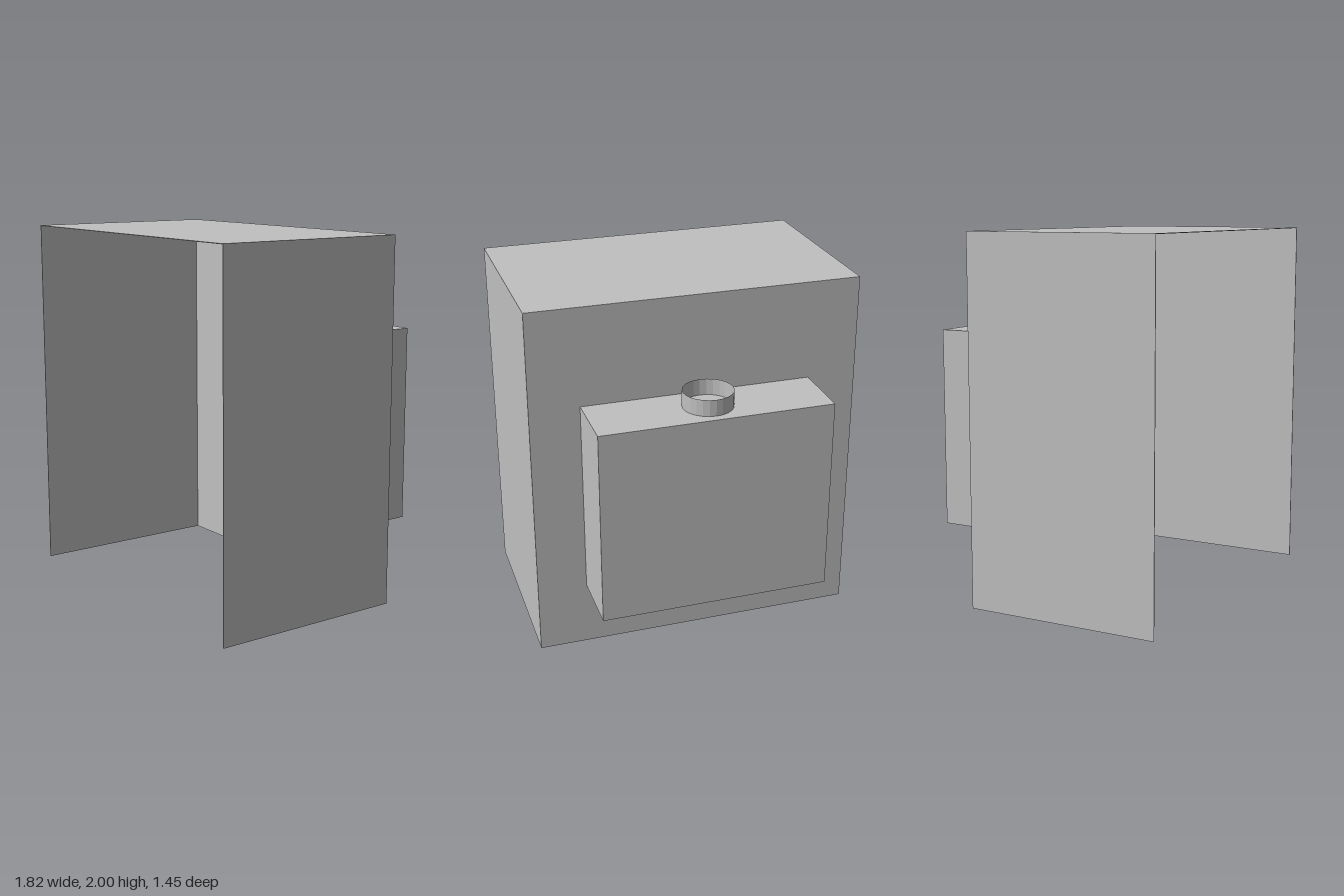
import * as THREE from 'three';

const U = 1 / 11; // design unit: the hood is 22 units tall
const T = 0.004;  // sheet thickness

export function createModel() {
  const group = new THREE.Group();
  const metal = new THREE.MeshStandardMaterial({ color: 0xc0c0c0 });
  metal.name = 'light grey sheet metal';
  const openMetal = metal;
  openMetal.side = THREE.DoubleSide;

  const add = (name, geometry, x, y, z) => {
    const mesh = new THREE.Mesh(geometry, metal);
    mesh.name = name;
    mesh.position.set(x, y, z);
    group.add(mesh);
    return mesh;
  };
  const box = (name, w, h, d, x, y, z) => add(name, new THREE.BoxGeometry(w, h, d), x, y, z);

  // Rectangular sheet with a rectangular hole, facing z
  const frame = (name, w, y0, y1, hw, hy0, hy1, z) => {
    const rect = (P, r, a, b) => {
      const p = new P();
      p.moveTo(-r, a).lineTo(r, a).lineTo(r, b).lineTo(-r, b).closePath();
      return p;
    };
    const shape = rect(THREE.Shape, w, y0, y1);
    shape.holes.push(rect(THREE.Path, hw, hy0, hy1));
    add(name, new THREE.ExtrudeGeometry(shape, { depth: T, bevelEnabled: false }), 0, 0, z);
  };

  // Outer shell: open at the front and bottom
  const backZ = -4 * U, frontZ = 8 * U, depth = 12 * U, midZ = 2 * U;
  for (const [s, name] of [[1, 'leftPanel'], [-1, 'rightPanel']]) {
    box(name, T, 2, depth, s * (10 * U - T / 2), 1, (backZ + frontZ) / 2);
  }
  box('topPanel', 20 * U, T, depth, 0, 2 - T / 2, midZ);
  frame('backPanel', 10 * U, 0, 2, 6 * U, 5 * U, 15 * U, backZ);

  // Housing behind the back panel
  const rearZ = -8 * U, houseMid = -6 * U;
  for (const [s, name] of [[1, 'housingLeft'], [-1, 'housingRight']]) {
    box(name, T, 12 * U, 4 * U, s * (7 * U - T / 2), 10 * U, houseMid);
  }
  box('housingTop', 14 * U, T, 4 * U, 0, 16 * U - T / 2, houseMid);
  box('housingBottom', 14 * U, T, 4 * U, 0, 4 * U + T / 2, houseMid);
  box('housingBack', 14 * U, 12 * U, T, 0, 10 * U, rearZ + T / 2);

  // Recess lining inside the opening
  const d = 0.245, rz = backZ - d / 2;
  for (const [s, name] of [[1, 'recessLeft'], [-1, 'recessRight']]) {
    box(name, T, 10 * U, d, s * (6 * U + T / 2), 10 * U, rz);
  }
  box('recessTop', 12 * U, T, d, 0, 15 * U + T / 2, rz);
  box('recessFloor', 12 * U, T, d, 0, 5 * U - T / 2, rz);
  box('recessBack', 12 * U, 10 * U, T, 0, 10 * U, backZ - d - T / 2);

  // Open duct collar on top of the housing
  const collar = new THREE.CylinderGeometry(1.5 * U, 1.5 * U, U, 24, 1, true).toNonIndexed();
  collar.computeVertexNormals();
  add('ductCollar', collar, 0, 16.5 * U, houseMid);

  return group;
}
